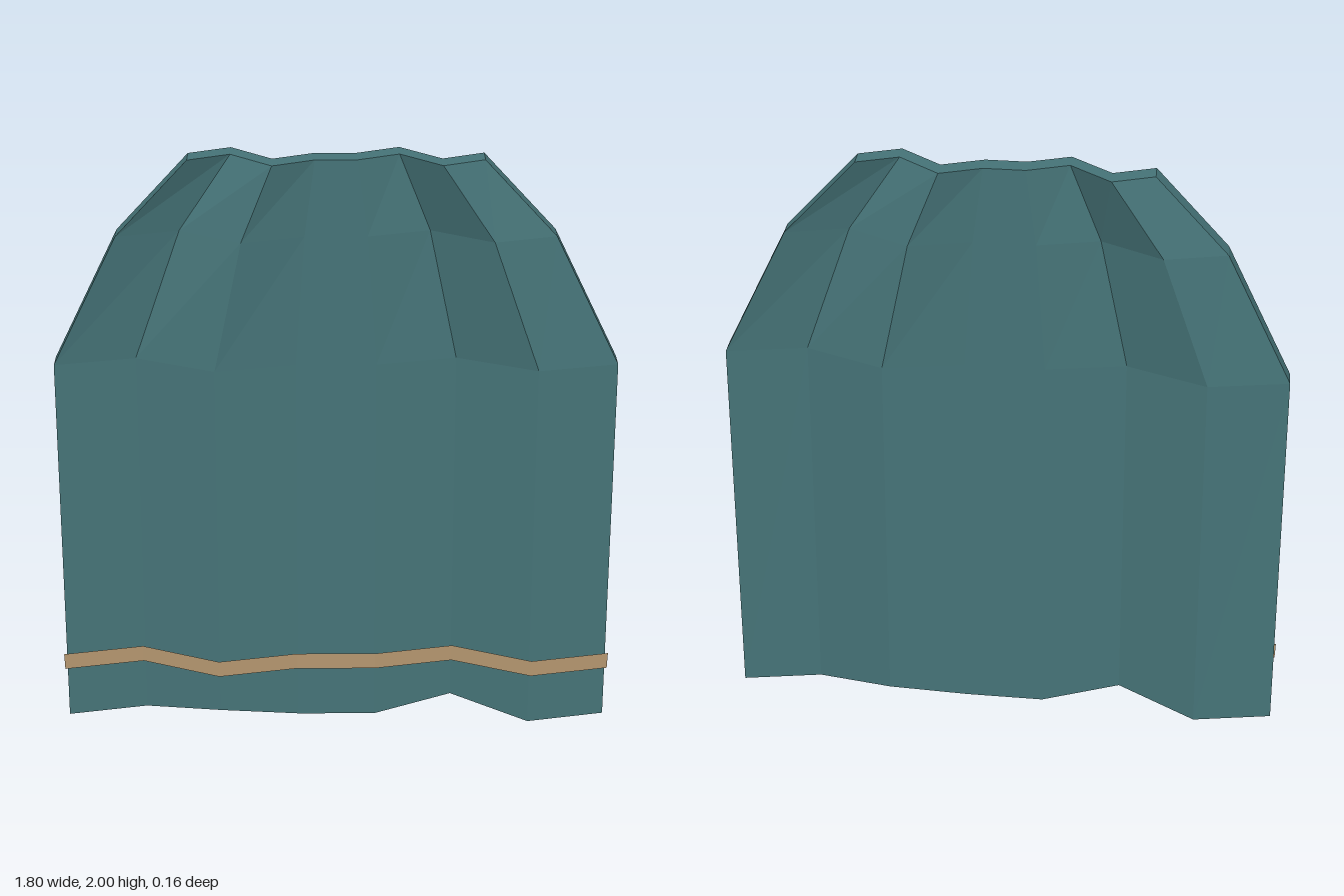
import * as THREE from 'three';

// Cross-section shared by cloth and trim: eight fold lines across the width
const FOLDS = [0, -0.045, 0.045, 0, 0, -0.045, 0.045, 0];
const COLS = FOLDS.length;
const MID_Z = -0.0075;
const HALF_THICK = 0.0275;

// Rows from hem to neckline: [height, half width]
const ROWS = [[0, 0.902], [1.335, 0.86], [1.76, 0.65], [2, 0.43]];

const across = (c, half) => (c / (COLS - 1) * 2 - 1) * half;

function toGeometry(points, index) {
  const g = new THREE.BufferGeometry();
  g.setAttribute('position', new THREE.Float32BufferAttribute(points, 3));
  g.setIndex(index);
  const flat = g.toNonIndexed();
  flat.computeVertexNormals();
  return flat;
}

// Pleated sheet with front, back and a closed rim
function clothGeometry() {
  const points = [], index = [];
  const quad = (a, b, c, d) => index.push(a, b, c, a, c, d);
  for (const side of [1, -1]) {
    ROWS.forEach(([y, half], r) => {
      for (let c = 0; c < COLS; c++) {
        const lift = r === 0 && (c === 2 || c === 5) ? 0.05 : 0; // scalloped hem
        points.push(across(c, half), y + lift, MID_Z + FOLDS[c] + side * HALF_THICK);
      }
    });
  }
  const F = (r, c) => r * COLS + c;
  const B = (r, c) => ROWS.length * COLS + F(r, c);
  const top = ROWS.length - 1, end = COLS - 1;
  for (let r = 0; r < top; r++) {
    for (let c = 0; c < end; c++) {
      quad(F(r, c), F(r, c + 1), F(r + 1, c + 1), F(r + 1, c));
      quad(B(r, c + 1), B(r, c), B(r + 1, c), B(r + 1, c + 1));
    }
    quad(B(r, 0), F(r, 0), F(r + 1, 0), B(r + 1, 0));
    quad(F(r, end), B(r, end), B(r + 1, end), F(r + 1, end));
  }
  for (let c = 0; c < end; c++) {
    quad(B(0, c), B(0, c + 1), F(0, c + 1), F(0, c));
    quad(F(top, c), F(top, c + 1), B(top, c + 1), B(top, c));
  }
  return toGeometry(points, index);
}

// Open ribbon following the folds just ahead of the cloth
function trimGeometry() {
  const points = [], index = [];
  for (let c = 0; c < COLS; c++) {
    const x = across(c, 0.902), z = MID_Z + FOLDS[c] + HALF_THICK + 0.015;
    points.push(x, 0.2, z, x, 0.26, z);
    if (c < COLS - 1) {
      const i = c * 2;
      index.push(i, i + 2, i + 3, i, i + 3, i + 1);
    }
  }
  return toGeometry(points, index);
}

export function createModel() {
  const teal = new THREE.MeshStandardMaterial({ color: 0x467478, flatShading: true });
  teal.name = 'tealCloth';
  const tan = new THREE.MeshStandardMaterial({ color: 0xb59770, flatShading: true, side: THREE.DoubleSide });
  tan.name = 'tanTrim';

  const group = new THREE.Group();
  group.name = 'cape';
  const cloth = new THREE.Mesh(clothGeometry(), teal);
  cloth.name = 'capeCloth';
  const trim = new THREE.Mesh(trimGeometry(), tan);
  trim.name = 'hemTrim';
  group.add(cloth, trim);
  return group;
}
